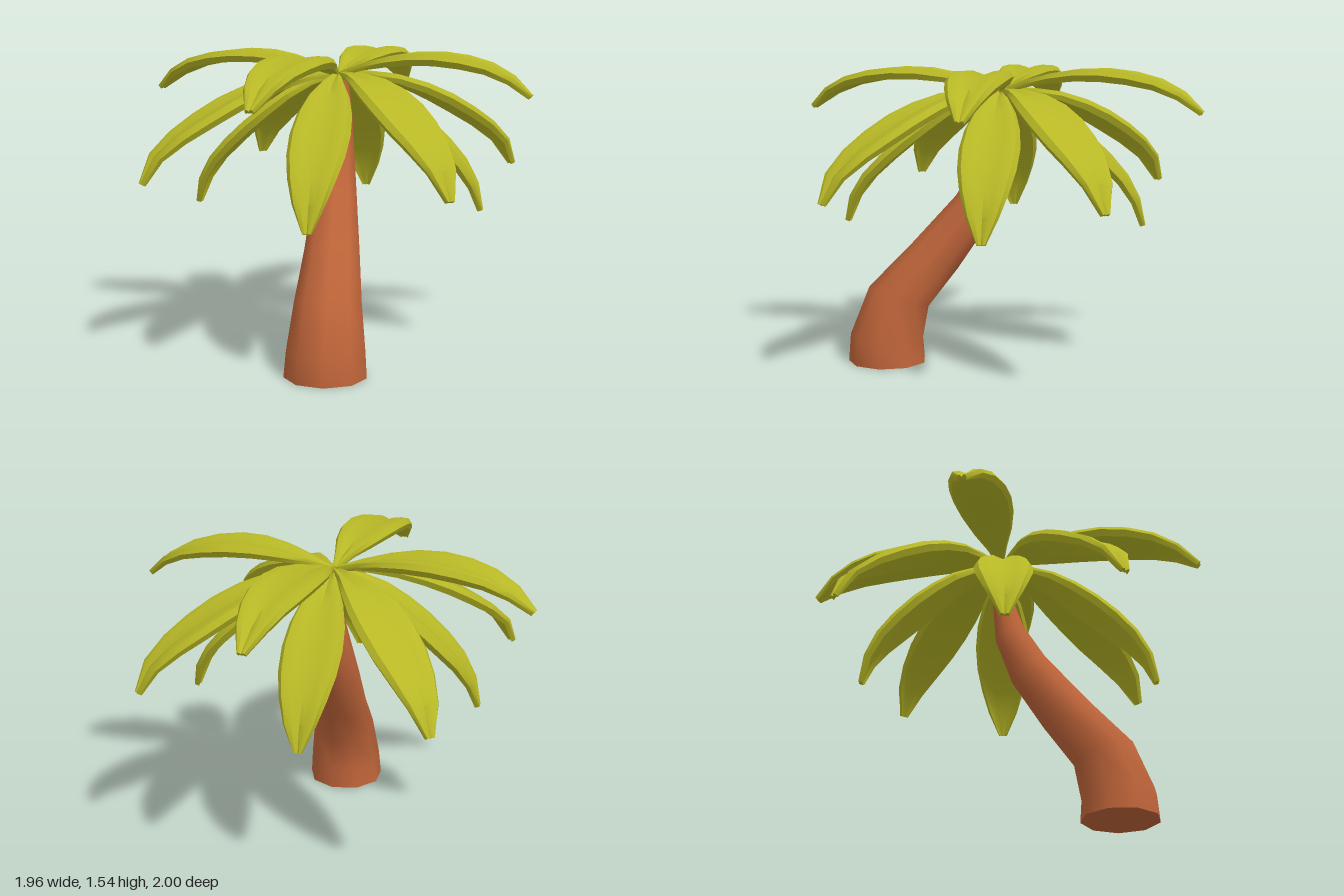
import * as THREE from 'three';
import { toCreasedNormals } from 'three/addons/utils/BufferGeometryUtils.js';

// Skin a list of closed rings (counter-clockwise about the travel direction), capped at both ends
function loft(rings, crease) {
  const n = rings[0].length, pos = [], idx = [];
  rings.forEach(r => r.forEach(p => pos.push(p.x, p.y, p.z)));
  for (let i = 0; i < rings.length - 1; i++) {
    for (let j = 0; j < n; j++) {
      const a = i * n + j, b = i * n + (j + 1) % n, c = a + n, d = b + n;
      idx.push(a, b, c, b, d, c);
    }
  }
  [0, rings.length - 1].forEach((k, end) => {
    const mid = new THREE.Vector3();
    rings[k].forEach(p => mid.addScaledVector(p, 1 / n));
    const m = pos.length / 3;
    pos.push(mid.x, mid.y, mid.z);
    for (let j = 0; j < n; j++) {
      const a = k * n + j, b = k * n + (j + 1) % n;
      if (end) idx.push(m, a, b); else idx.push(m, b, a);
    }
  });
  const g = new THREE.BufferGeometry();
  g.setAttribute('position', new THREE.Float32BufferAttribute(pos, 3));
  g.setIndex(idx);
  return toCreasedNormals(g, crease);
}

// Trunk rings: centre x, y, z, radius, backward tilt in degrees
const TRUNK = [
  [-0.025, 0, 0.588, 0.205, 0], [-0.022, 0.13, 0.587, 0.195, 4],
  [-0.015, 0.35, 0.52, 0.167, 17], [-0.005, 0.56, 0.335, 0.14, 26],
  [0, 0.81, 0.135, 0.113, 36], [0.012, 1.02, 0.035, 0.085, 26],
  [0.028, 1.22, 0, 0.056, 8], [0.033, 1.42, -0.005, 0.03, 0],
];

function trunkGeometry() {
  const sides = 9;
  return loft(TRUNK.map(([x, y, z, r, deg]) => {
    const t = THREE.MathUtils.degToRad(deg);
    return Array.from({ length: sides }, (_, j) => {
      const a = (j / sides) * Math.PI * 2, c = r * Math.cos(a);
      return new THREE.Vector3(x + r * Math.sin(a), y + c * Math.sin(t), z + c * Math.cos(t));
    });
  }), 1.0);
}

// Leaf cross-section (side, up): grooved top, thick edges, hollow underside
const HALF = [[0, -0.014], [0.45, 0.01], [0.85, 0.008], [1, -0.02], [0.88, -0.052], [0.4, -0.034], [0, -0.042]];
const SECTION = [...HALF, ...HALF.slice(1, -1).reverse().map(([u, v]) => [-u, v])];
const WIDTHS = [0.012, 0.055, 0.105, 0.138, 0.15, 0.143, 0.118, 0.08, 0.022];

// Midrib profiles (outward, up) for the three tiers
const TIERS = {
  upper: [[0.01, 1.43], [0.2, 1.49], [0.48, 1.53], [0.77, 1.49], [0.92, 1.42], [1.02, 1.33]],
  middle: [[0.01, 1.43], [0.25, 1.42], [0.52, 1.34], [0.8, 1.19], [0.97, 1.06], [1.05, 0.91]],
  lower: [[0.01, 1.43], [0.2, 1.37], [0.42, 1.22], [0.6, 1.06], [0.72, 0.91], [0.77, 0.74]],
};

function leafGeometry(profile, stretch) {
  const curve = new THREE.CatmullRomCurve3(profile.map(([r, y]) => new THREE.Vector3(r * stretch, y, 0)));
  return loft(WIDTHS.map((w, i) => {
    const t = i / (WIDTHS.length - 1);
    const p = curve.getPointAt(t), d = curve.getTangentAt(t);
    const thick = 0.35 + 0.65 * w / 0.15;
    return SECTION.map(([u, v]) =>
      new THREE.Vector3(p.x - d.y * v * thick, p.y + d.x * v * thick, u * w));
  }), 0.8);
}

// Leaf tips as seen from above: x, z
const TIPS = {
  upper: [[0.98, 0.21], [0.36, -0.99], [-0.97, -0.35], [-0.34, 0.99]],
  middle: [[0.95, -0.45], [-0.48, -0.91], [-0.94, 0.43], [0.56, 0.87]],
  lower: [[0.75, 0.11], [0.14, -0.74], [-0.74, -0.11], [-0.1, 0.8]],
};

export function createModel() {
  const bark = new THREE.MeshStandardMaterial({ color: 0xbe6439 });
  bark.name = 'bark brown';
  const green = new THREE.MeshStandardMaterial({ color: 0xb7b726 });
  green.name = 'leaf green';

  const model = new THREE.Group();
  model.name = 'palmTree';
  const trunk = new THREE.Mesh(trunkGeometry(), bark);
  trunk.name = 'trunk';
  model.add(trunk);

  // Crown: three tiers of four leaves each
  const crown = new THREE.Group();
  crown.name = 'crown';
  for (const [tier, tips] of Object.entries(TIPS)) {
    const profile = TIERS[tier], reach = profile[profile.length - 1][0];
    tips.forEach(([x, z], i) => {
      const dx = x - 0.01, dz = z + 0.01;
      const leaf = new THREE.Mesh(leafGeometry(profile, Math.hypot(dx, dz) / reach), green);
      leaf.name = `${tier}Leaf${i + 1}`;
      leaf.position.set(0.01, 0, -0.01);
      leaf.rotation.y = Math.atan2(-dz, dx);
      crown.add(leaf);
    });
  }
  model.add(crown);
  return model;
}
